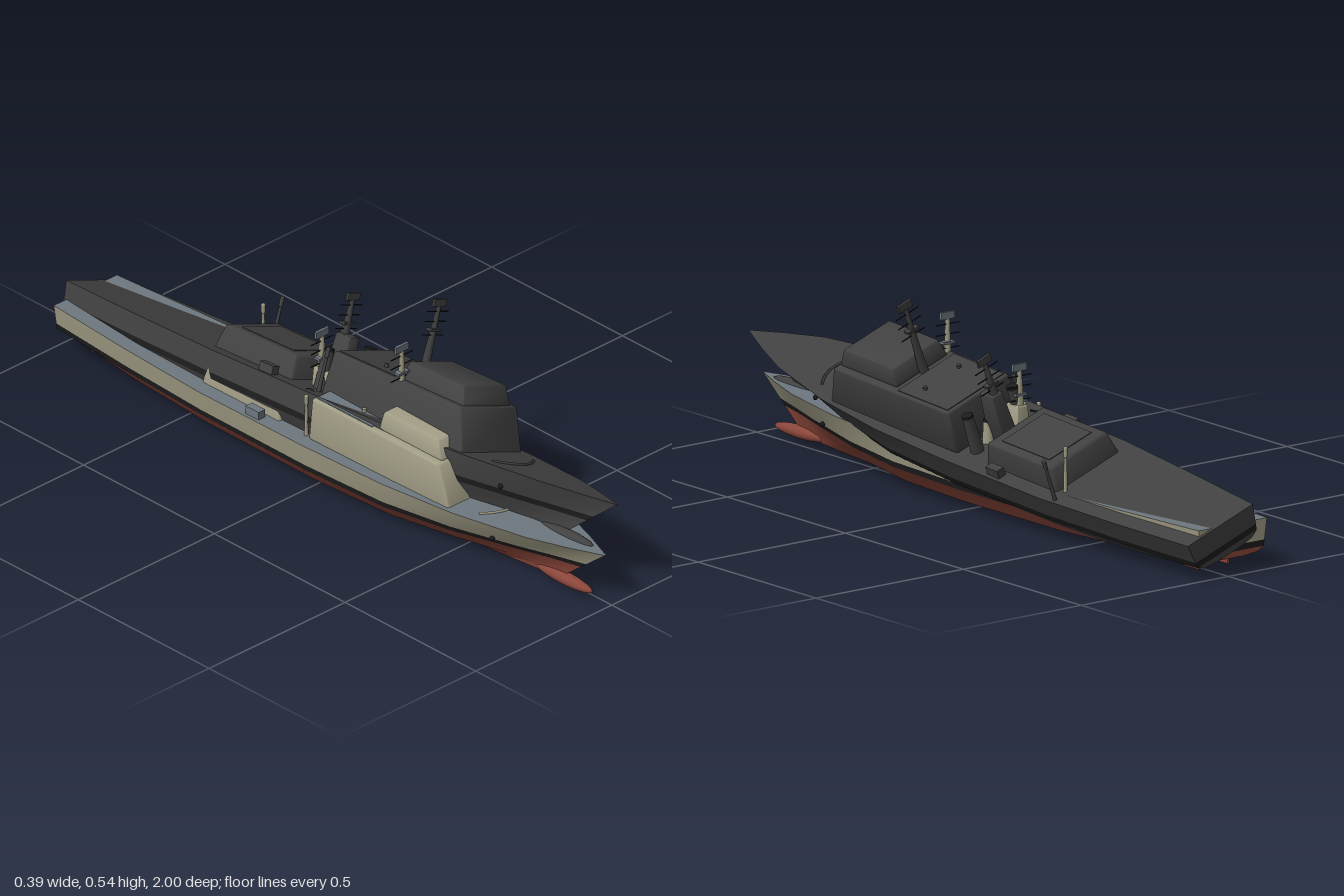
import * as THREE from 'three';
import { toCreasedNormals } from 'three/addons/utils/BufferGeometryUtils.js';
import { RoundedBoxGeometry } from 'three/addons/geometries/RoundedBoxGeometry.js';

const mat = (name, color) => Object.assign(new THREE.MeshStandardMaterial({ color }), { name });

// Hull stations: z, stem rake, then half width and height at deck, waterline, chine and keel
const STATIONS = [
  [1.0, 1.25, 0.002, 0.162, 0.002, 0.088, 0.002, 0.05, 0.001, 0.02],
  [0.9, 1.15, 0.042, 0.16, 0.02, 0.083, 0.011, 0.042, 0.005, 0.015],
  [0.78, 1.0, 0.083, 0.158, 0.047, 0.077, 0.027, 0.035, 0.01, 0.01],
  [0.55, 0.6, 0.127, 0.152, 0.095, 0.068, 0.06, 0.025, 0.02, 0.005],
  [0.3, 0.2, 0.15, 0.146, 0.13, 0.062, 0.095, 0.02, 0.04, 0.001],
  [0, 0, 0.157, 0.142, 0.143, 0.06, 0.112, 0.02, 0.05, 0],
  [-0.4, 0, 0.156, 0.139, 0.14, 0.06, 0.11, 0.02, 0.05, 0],
  [-0.7, 0, 0.138, 0.137, 0.125, 0.06, 0.1, 0.028, 0.045, 0.014],
  [-0.99, 0, 0.116, 0.137, 0.105, 0.062, 0.085, 0.05, 0.04, 0.045],
];

// Half section from keel to deck edge: keel, chine, waterline, top of band, deck
function section([z, k, dx, dy, wx, wy, cx, cy, kx, ky]) {
  const f = 0.017 / (dy - wy);
  const pts = [[kx, ky], [cx, cy], [wx, wy], [wx + (dx - wx) * f, wy + 0.017], [dx, dy]];
  return pts.map(([x, y]) => new THREE.Vector3(x, y, z - k * (dy - y)));
}

const flip = (p) => new THREE.Vector3(-p.x, p.y, p.z);

function quadGeometry(quads) {
  const pos = [];
  for (const [a, b, c, d] of quads) for (const p of [a, b, c, a, c, d]) pos.push(p.x, p.y, p.z);
  const g = new THREE.BufferGeometry();
  g.setAttribute('position', new THREE.Float32BufferAttribute(pos, 3));
  return toCreasedNormals(g, 0.35);
}

// Skin between two section levels on both sides
function hullStrip(from, to) {
  const rows = STATIONS.map(section), quads = [];
  for (let i = 0; i < rows.length - 1; i++) {
    const a = rows[i], b = rows[i + 1];
    for (let j = from; j < to; j++) {
      const q = [a[j], b[j], b[j + 1], a[j + 1]];
      quads.push(q, q.map(flip).reverse());
    }
  }
  return quadGeometry(quads);
}

// Flat skin from side to side at one level
function hullSpan(level, up) {
  const rows = STATIONS.map(section), quads = [];
  for (let i = 0; i < rows.length - 1; i++) {
    const a = rows[i][level], b = rows[i + 1][level];
    const q = [a, b, flip(b), flip(a)];
    quads.push(up ? q : q.reverse());
  }
  return quadGeometry(quads);
}

function transom(from, to) {
  const s = section(STATIONS[STATIONS.length - 1]), quads = [];
  for (let j = from; j < to; j++) quads.push([s[j], flip(s[j]), flip(s[j + 1]), s[j + 1]]);
  return quadGeometry(quads);
}

// Rounded block tapering upward; x = half widths, front and back = z, each [bottom, top]
function block(x, front, back, y0, y1, r = 0.008) {
  const g = new RoundedBoxGeometry(2 * x[0], y1 - y0, front[0] - back[0], 2, r);
  const p = g.attributes.position, h = y1 - y0, d = front[0] - back[0];
  for (let i = 0; i < p.count; i++) {
    const t = p.getY(i) / h + 0.5, u = p.getZ(i) / d + 0.5;
    const f = THREE.MathUtils.lerp(front[0], front[1], t);
    const b = THREE.MathUtils.lerp(back[0], back[1], t);
    p.setXYZ(i, p.getX(i) * THREE.MathUtils.lerp(1, x[1] / x[0], t), y0 + t * h, b + (f - b) * u);
  }
  return toCreasedNormals(g, 0.6);
}

function buildShip(name, m) {
  const ship = new THREE.Group();
  ship.name = name;
  const add = (part, geo, material, x = 0, y = 0, z = 0) => {
    const mesh = new THREE.Mesh(geo, material);
    mesh.name = part;
    mesh.position.set(x, y, z);
    ship.add(mesh);
    return mesh;
  };
  const box = (part, w, h, d, material, x, y, z) => add(part, new THREE.BoxGeometry(w, h, d), material, x, y, z);

  // Hull
  add('bottom', hullSpan(0, false), m.bottom);
  add('lowerHull', hullStrip(0, 2), m.bottom);
  add('waterlineBand', hullStrip(2, 3), m.band);
  add('upperHull', hullStrip(3, 4), m.side);
  add('deck', hullSpan(4, true), m.deck);
  add('lowerTransom', transom(0, 2), m.bottom);
  add('transomBand', transom(2, 3), m.band);
  add('upperTransom', transom(3, 4), m.side);

  // Bulbous bow
  add('bulb', new THREE.SphereGeometry(1, 20, 12), m.bottom, 0, 0.028, 0.84).scale.set(0.019, 0.018, 0.11);

  // Breakwater arc on the foredeck
  const arc = new THREE.QuadraticBezierCurve3(
    new THREE.Vector3(-0.08, 0.154, 0.6), new THREE.Vector3(0, 0.159, 0.68), new THREE.Vector3(0.08, 0.154, 0.6));
  add('breakwater', new THREE.TubeGeometry(arc, 14, 0.004, 5), m.side);

  // Deckhouses
  add('mainHouse', block([0.118, 0.11], [0.525, 0.475], [-0.015, -0.01], 0.138, 0.263), m.side);
  box('mainHouseRoof', 0.2, 0.004, 0.21, m.deck, 0, 0.2635, 0.105);
  add('bridge', block([0.092, 0.082], [0.47, 0.445], [0.225, 0.235], 0.26, 0.314), m.side);
  add('aftHouse', block([0.113, 0.1], [-0.13, -0.145], [-0.43, -0.415], 0.132, 0.205), m.side);
  box('aftHousePanel', 0.15, 0.004, 0.2, m.side, 0, 0.205, -0.28);

  // Foremast and aft mast, each with radar and yards
  const mast = (part, z, y0, y1) => {
    const pole = add(part + 'Pole', new THREE.CylinderGeometry(0.006, 0.014, y1 - y0, 4), m.side, 0, (y0 + y1) / 2, z);
    pole.rotation.y = Math.PI / 4;
    box(part + 'Radar', 0.046, 0.02, 0.008, m.deck, 0, y1 + 0.01, z);
    box(part + 'Platform', 0.038, 0.007, 0.02, m.deck, 0, y1 - 0.064, z);
    for (const d of [0.014, 0.042, 0.08]) box(part + 'Yard', 0.08, 0.0025, 0.0025, m.band, 0, y1 - d, z);
  };
  mast('foremast', 0.22, 0.262, 0.46);
  mast('aftMast', -0.085, 0.27, 0.378);
  add('mastTower', block([0.025, 0.018], [-0.035, -0.045], [-0.11, -0.1], 0.138, 0.285, 0.004), m.side);

  // Paired fittings
  for (const s of [-1, 1]) {
    add('funnel', new THREE.CylinderGeometry(0.015, 0.019, 0.11, 12), m.side, s * 0.08, 0.193, -0.055);
    add('funnelCap', new THREE.CylinderGeometry(0.016, 0.016, 0.008, 12), m.band, s * 0.08, 0.25, -0.055);
    box('sideLocker', 0.024, 0.024, 0.05, m.deck, s * 0.134, 0.152, -0.2);
    add('hawsehole', new THREE.SphereGeometry(0.007, 8, 6), m.band, s * 0.08, 0.1, 0.65);
    add('roofVent', new THREE.CylinderGeometry(0.006, 0.006, 0.012, 8), m.side, s * 0.06, 0.269, 0.14);
    add('propellerShaft', new THREE.CylinderGeometry(0.004, 0.004, 0.22, 6), m.bottom, s * 0.05, 0.018, -0.73).rotation.x = Math.PI / 2;
    box('rudder', 0.007, 0.04, 0.06, m.bottom, s * 0.05, 0.026, -0.88);
  }

  // Deck posts with a rounded head
  for (const [x, z] of [[-0.11, -0.03], [0.14, -0.455]]) {
    add('deckPost', new THREE.CylinderGeometry(0.004, 0.006, 0.1, 8), m.side, x, 0.19, z);
    add('deckPostHead', new THREE.CapsuleGeometry(0.006, 0.02, 4, 8), m.side, x, 0.25, z);
  }
  return ship;
}

export function createModel() {
  const model = new THREE.Group();
  model.name = 'pairedShips';
  const sand = mat('sand', 0xa09c85), slate = mat('slate', 0x6e7880), red = mat('hullRed', 0x8a463a);
  const black = mat('black', 0x1c1c1c), charcoal = mat('charcoal', 0x414141);

  const painted = buildShip('paintedShip', { bottom: red, band: black, side: sand, deck: slate });
  painted.position.x = -0.023;

  // Dark ship rolled to its left, with its bow raised
  const dark = buildShip('darkShip', { bottom: charcoal, band: black, side: charcoal, deck: charcoal });
  dark.rotation.set(-0.06, 0, -0.367);
  dark.position.set(-0.022, 0.076, -0.004);

  model.add(painted, dark);
  return model;
}
